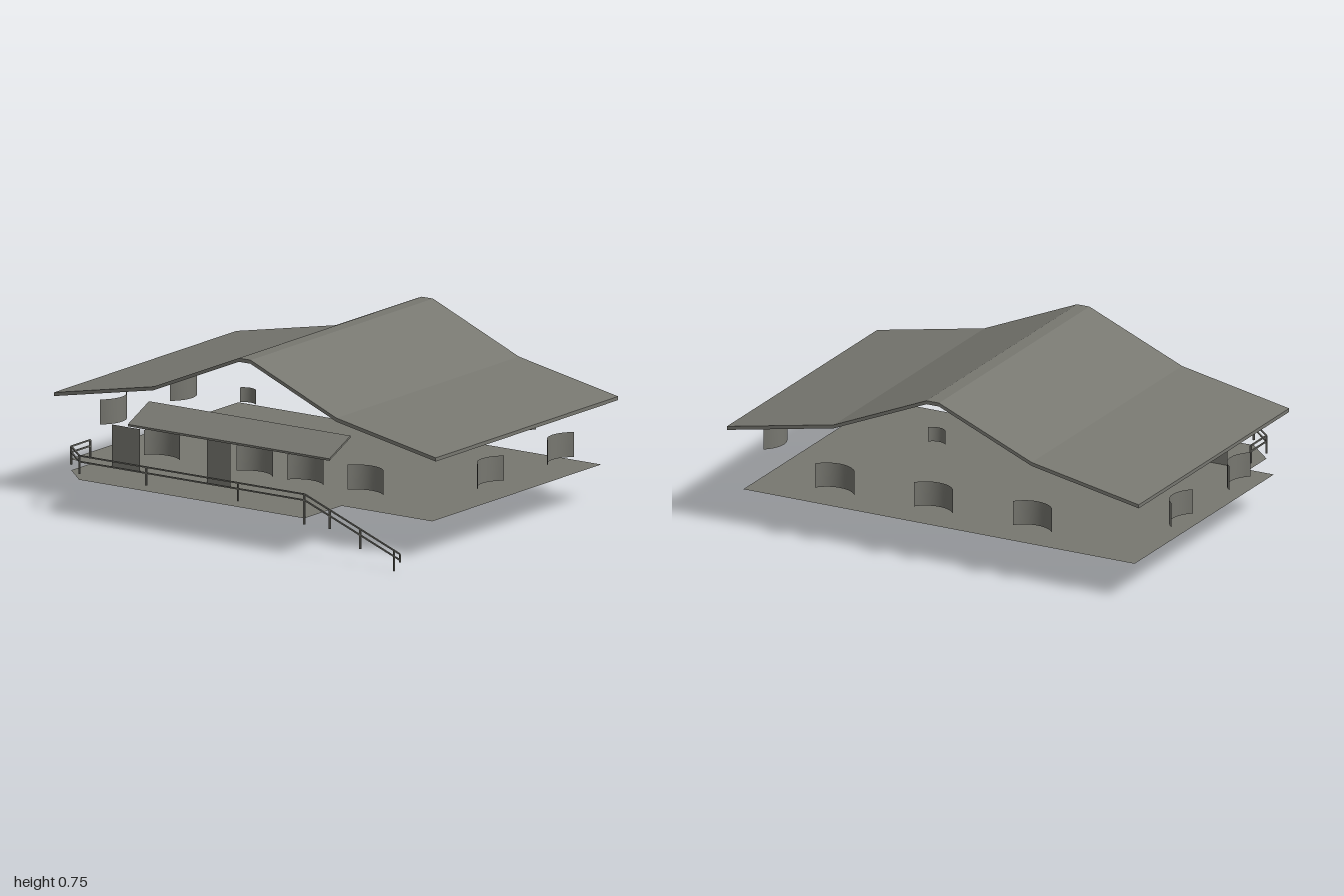
import * as THREE from 'three';

export function createModel() {
  const model = new THREE.Group();
  const grey = new THREE.MeshStandardMaterial({ color: 0x777770, side: THREE.DoubleSide });
  grey.name = 'warmGrey';

  const add = (name, geometry, parent = model) => {
    const mesh = new THREE.Mesh(geometry, grey);
    mesh.name = name;
    parent.add(mesh);
    return mesh;
  };
  const group = (name) => {
    const g = new THREE.Group();
    g.name = name;
    model.add(g);
    return g;
  };
  const outline = (pts) => new THREE.Shape(pts.map(([x, y]) => new THREE.Vector2(x, y)));
  // square bar between two points
  const bar = (name, a, b, t, parent) => {
    const p = new THREE.Vector3(...a), q = new THREE.Vector3(...b);
    const mesh = add(name, new THREE.BoxGeometry(t, t, p.distanceTo(q)), parent);
    mesh.position.copy(p).add(q).multiplyScalar(0.5);
    mesh.lookAt(q);
    return mesh;
  };

  // Roof: bent sheet swept from back to front
  const slope = [[-1, 0.46], [-0.48, 0.56], [-0.03, 0.75], [0.03, 0.75], [0.48, 0.56], [1, 0.46]];
  const under = slope.map(([x, y]) => [x, y - 0.016]).reverse();
  const roof = new THREE.ExtrudeGeometry(outline([...slope, ...under]), { depth: 1.34, bevelEnabled: false });
  add('roof', roof.translate(0, 0, -0.79));

  // Floor with the porch platform, as one flat sheet
  const floor = new THREE.ShapeGeometry(outline([
    [-0.95, 0.735], [-0.95, -0.505], [-0.83, -0.505], [-0.83, -0.66], [-0.705, -0.778],
    [0.475, -0.778], [0.475, -0.505], [0.95, -0.505], [0.95, 0.735],
  ]));
  add('floor', floor.rotateX(-Math.PI / 2).translate(0, 0.165, 0));

  // Windows: sheets curved inward, ends standing out from the wall line
  const windowSheet = (width, height, depth) => {
    const geo = new THREE.PlaneGeometry(width, height, 10, 1);
    const pos = geo.attributes.position;
    const half = width / 2, r = (half * half + depth * depth) / (2 * depth);
    const end = Math.asin(half / r);
    for (let i = 0; i < pos.count; i++) {
      const a = (pos.getX(i) / half) * end;
      pos.setX(i, r * Math.sin(a));
      pos.setZ(i, r * (1 - Math.cos(a)));
    }
    geo.computeVertexNormals();
    return geo;
  };
  const pane = windowSheet(0.19, 0.11, 0.047);
  const vent = windowSheet(0.085, 0.065, 0.02);
  const windows = group('windows');
  const place = (name, geo, x, y, z, turn) => {
    const mesh = add(name, geo, windows);
    mesh.position.set(x, y, z);
    mesh.rotation.y = turn;
  };
  for (const x of [-0.43, 0.055, 0.32, 0.635]) place('frontWindow', pane, x, 0.31, 0.507, 0);
  for (const x of [-0.48, 0, 0.48]) place('backWindow', pane, x, 0.31, -0.735, Math.PI);
  for (const s of [-1, 1]) {
    for (const z of [0.13, -0.385]) place('sideWindow', pane, s * 0.943, 0.31, z, s * Math.PI / 2);
  }
  place('frontGableWindow', vent, 0, 0.583, 0.507, 0);
  place('backGableWindow', vent, 0, 0.583, -0.735, Math.PI);

  // Doors
  for (const [x, w, h] of [[-0.652, 0.145, 0.185], [-0.167, 0.125, 0.2]]) {
    add('door', new THREE.PlaneGeometry(w, h)).position.set(x, 0.165 + h / 2, 0.507);
  }

  // Porch awning and its brackets
  const awning = group('awning');
  const tilt = new THREE.ExtrudeGeometry(
    outline([[-0.51, 0.481], [-0.665, 0.411], [-0.665, 0.402], [-0.51, 0.472]]),
    { depth: 1.055, bevelEnabled: false });
  add('awningRoof', tilt.rotateY(Math.PI / 2).translate(-0.53, 0, 0), awning);
  for (const x of [-0.255, 0.187]) {
    bar('awningArm', [x, 0.408, 0.51], [x, 0.408, 0.66], 0.006, awning);
    bar('awningBrace', [x, 0.386, 0.51], [x, 0.406, 0.64], 0.006, awning);
  }

  // Porch and stair railing: two rails on short posts
  const railing = group('railing');
  const path = [[-0.83, 0.27, 0.52], [-0.83, 0.27, 0.66], [-0.705, 0.27, 0.775],
    [0.475, 0.27, 0.775], [0.97, 0.08, 0.775]];
  for (const drop of [0, 0.026]) {
    for (let i = 0; i < path.length - 1; i++) {
      const [a, b] = [path[i], path[i + 1]].map(([x, y, z]) => [x, y - drop, z]);
      bar('rail', a, b, 0.006, railing);
    }
  }
  bar('railEnd', [0.972, 0.08, 0.775], [0.974, 0.042, 0.775], 0.006, railing);
  const posts = [
    [-0.83, 0.27, 0.19, 0.52], [-0.83, 0.27, 0.19, 0.66], [-0.705, 0.27, 0.19, 0.775],
    [-0.355, 0.27, 0.19, 0.775], [0.125, 0.27, 0.19, 0.775], [0.472, 0.27, 0.138, 0.775],
    [0.605, 0.22, 0.137, 0.775], [0.765, 0.16, 0.072, 0.775], [0.942, 0.09, 0, 0.775],
  ];
  for (const [x, top, bottom, z] of posts) {
    const post = new THREE.BoxGeometry(0.007, top - bottom, 0.007);
    add('railPost', post, railing).position.set(x, (top + bottom) / 2, z);
  }

  return model;
}
